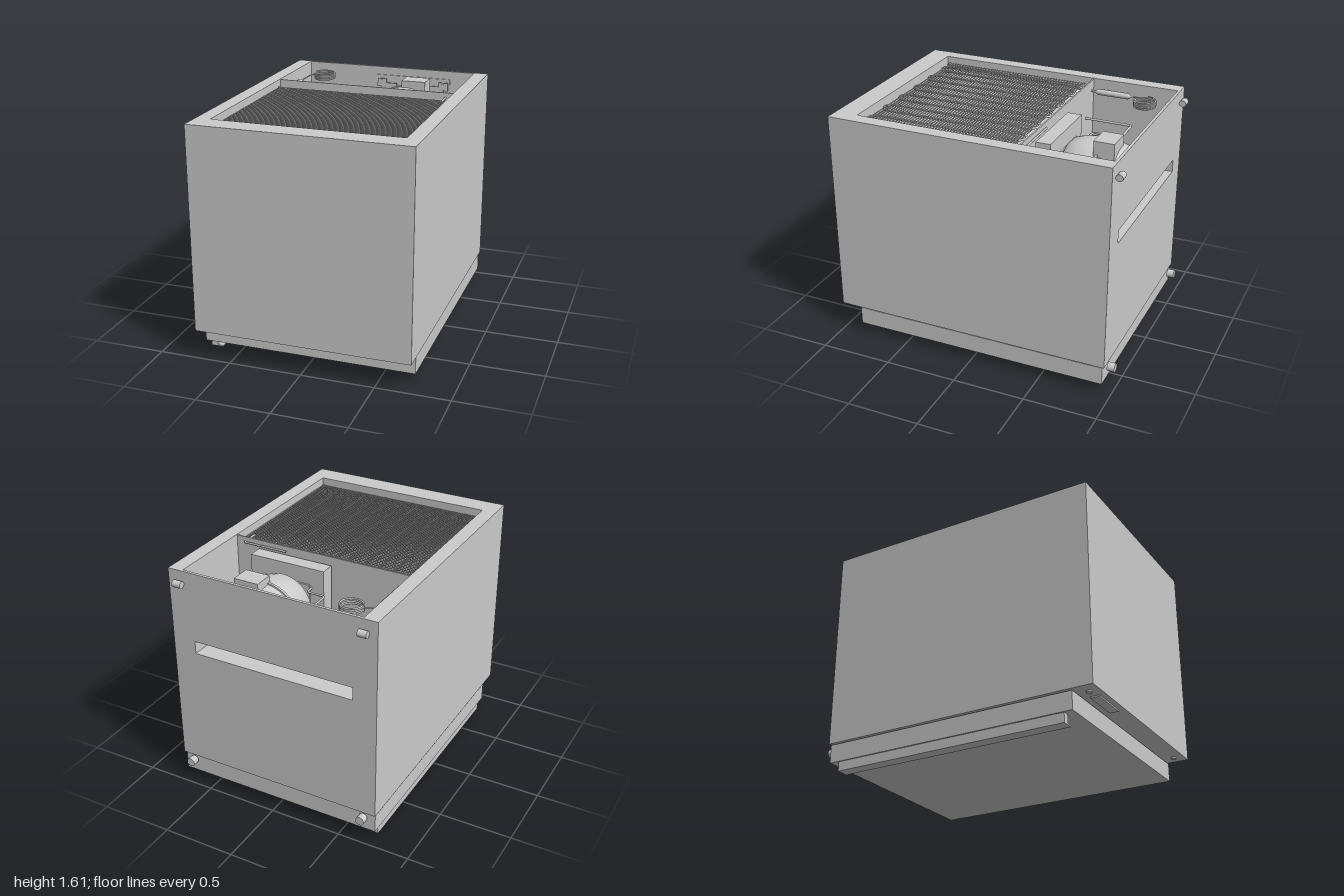
import * as THREE from 'three';

const mat = new THREE.MeshStandardMaterial({ color: 0xcccccc });
const V = (x, y, z) => new THREE.Vector3(x, y, z);

function add(parent, name, geo, x = 0, y = 0, z = 0) {
  const m = new THREE.Mesh(geo, mat);
  m.name = name;
  m.position.set(x, y, z);
  parent.add(m);
  return m;
}

// box from its limits on each axis
function box(parent, name, x0, x1, y0, y1, z0, z1) {
  return add(parent, name, new THREE.BoxGeometry(x1 - x0, y1 - y0, z1 - z0),
    (x0 + x1) / 2, (y0 + y1) / 2, (z0 + z1) / 2);
}

// cylinder along 'x', 'y' or 'z'
function rod(parent, name, axis, r, len, x, y, z, sides = 24) {
  const g = new THREE.CylinderGeometry(r, r, len, sides);
  if (axis === 'x') g.rotateZ(Math.PI / 2);
  if (axis === 'z') g.rotateX(Math.PI / 2);
  return add(parent, name, g, x, y, z);
}

// pipe through points with small rounded corners
function pipe(parent, name, pts, r = 0.007, bend = 0.025) {
  const path = new THREE.CurvePath();
  let from = pts[0];
  for (let i = 1; i < pts.length - 1; i++) {
    const p = pts[i];
    const a = p.clone().add(pts[i - 1].clone().sub(p).setLength(bend));
    const b = p.clone().add(pts[i + 1].clone().sub(p).setLength(bend));
    path.add(new THREE.LineCurve3(from, a));
    path.add(new THREE.QuadraticBezierCurve3(a, p, b));
    from = b;
  }
  path.add(new THREE.LineCurve3(from, pts[pts.length - 1]));
  return add(parent, name, new THREE.TubeGeometry(path, pts.length * 14, r, 8));
}

function group(parent, name) {
  const g = new THREE.Group();
  g.name = name;
  parent.add(g);
  return g;
}

function buildCabinet(root) {
  const c = group(root, 'cabinet');
  box(c, 'lowerBody', -0.74, 0.74, 0.2, 1.03, -0.95, 1);
  for (const s of [-1, 1]) {
    const [a, b] = s < 0 ? [-0.74, -0.64] : [0.64, 0.74];
    box(c, 'sideWall', a, b, 1.03, 1.61, -0.93, 1);
    const [d, e] = s < 0 ? [-0.64, -0.575] : [0.575, 0.64];
    box(c, 'floorEdge', d, e, 1.03, 1.12, -0.93, -0.77);
  }
  box(c, 'frontWall', -0.64, 0.64, 1.03, 1.61, 0.84, 1);
  box(c, 'compartmentFloor', -0.64, 0.64, 1.03, 1.12, -0.77, -0.32);
  box(c, 'condenserBed', -0.64, 0.64, 1.03, 1.52, -0.31, 0.84);
  box(c, 'partition', -0.64, 0.64, 1.03, 1.605, -0.32, -0.31);
  // back wall with the vent slot
  const wall = new THREE.Shape([[-0.74, 1.03], [0.74, 1.03], [0.74, 1.61], [-0.74, 1.61]]
    .map(p => new THREE.Vector2(...p)));
  wall.holes.push(new THREE.Path([[-0.575, 1.031], [-0.575, 1.12], [0.575, 1.12], [0.575, 1.031]]
    .map(p => new THREE.Vector2(...p))));
  add(c, 'backWall', new THREE.ExtrudeGeometry(wall, { depth: 0.02, bevelEnabled: false }), 0, 0, -0.95);
  for (const s of [-1, 1]) {
    rod(c, 'roller', 'x', 0.024, 0.06, s * 0.655, 1.525, -0.975);
    rod(c, 'foot', 'z', 0.03, 0.05, s * 0.655, 0.165, -0.975);
  }
}

function buildDoor(root) {
  const d = group(root, 'door');
  box(d, 'doorPanel', -0.735, 0.73, 0.065, 0.19, -0.935, 0.86);
  box(d, 'gasket', -0.7, 0.7, 0.188, 0.202, -0.9, 0.83);
  box(d, 'handleBar', -0.725, -0.68, 0.005, 0.066, -0.87, 0.8);
  box(d, 'handleLip', -0.725, -0.64, 0, 0.009, -0.87, 0.8);
  box(d, 'controlStrip', -0.57, -0.3, 0.19, 0.201, 0.9, 0.96);
  for (const s of [-1, 1]) rod(d, 'hingePin', 'y', 0.018, 0.012, s * 0.65, 0.195, 0.93);
}

function buildCondenser(root) {
  const c = group(root, 'condenser');
  const y = 1.555, r = 0.053, step = 0.106, x0 = -0.583, zTop = -0.21, zEnd = 0.77;
  // serpentine tube
  const pts = [];
  for (let i = 0; i < 12; i++) {
    const x = x0 + i * step, down = i % 2 === 0;
    for (let k = 0; k <= 8; k++) pts.push(V(x, y, THREE.MathUtils.lerp(zTop, zEnd, down ? k / 8 : 1 - k / 8)));
    if (i === 11) break;
    for (let k = 1; k < 6; k++) {
      const a = Math.PI * k / 6;
      pts.push(V(x + r - r * Math.cos(a), y, down ? zEnd + r * Math.sin(a) : zTop - r * Math.sin(a)));
    }
  }
  add(c, 'serpentineTube', new THREE.TubeGeometry(new THREE.CatmullRomCurve3(pts), 800, 0.008, 8));
  // wire grid above and below the tube
  for (let i = 0; i < 50; i++) {
    const z = -0.235 + i * 0.0212;
    rod(c, 'wire', 'x', 0.004, 1.24, 0, y + 0.011, z, 6);
    rod(c, 'wire', 'x', 0.004, 1.24, 0, y - 0.011, z + 0.006, 6);
  }
  for (const s of [-1, 1]) {
    box(c, 'sideRail', s * 0.625 - 0.012, s * 0.625 + 0.012, 1.52, 1.558, -0.27, 0.83);
    for (const z of [-0.25, 0.815]) rod(c, 'railScrew', 'y', 0.01, 0.01, s * 0.622, 1.562, z, 12);
  }
}

function buildCompressor(root) {
  const c = group(root, 'compressor');
  const cx = 0.183, cy = 1.29;
  // domed shell, axis towards the back
  const profile = [[0, -0.88], [0.14, -0.88], [0.185, -0.87], [0.21, -0.835], [0.228, -0.77], [0.237, -0.7],
    [0.237, -0.62], [0.228, -0.55], [0.208, -0.49], [0.18, -0.46], [0.14, -0.448], [0, -0.445]];
  const shell = new THREE.LatheGeometry(profile.map(p => new THREE.Vector2(...p)), 48);
  shell.rotateX(Math.PI / 2);
  add(c, 'shell', shell, cx, cy, 0);
  rod(c, 'weldSeam', 'z', 0.246, 0.018, cx, cy, -0.7, 48);
  box(c, 'terminalBox', 0.16, 0.335, 1.46, 1.575, -0.82, -0.68);
  box(c, 'mountPlate', -0.1, 0.46, 1.12, 1.55, -0.932, -0.922);
  box(c, 'shellBase', 0.01, 0.36, 1.14, 1.44, -0.452, -0.44);
  for (const x of [-0.052, 0.42]) for (const y of [1.17, 1.5]) {
    rod(c, 'rubberMount', 'z', 0.02, 0.045, x, y, -0.905);
    box(c, 'mountFoot', x - 0.035, x + 0.035, y - 0.03, y + 0.03, -0.895, -0.885);
  }
  for (const s of [-1, 1]) box(c, 'mountArm', cx + s * 0.18 - 0.06, cx + s * 0.18 + 0.06, 1.15, 1.5, -0.893, -0.884);
  box(c, 'dripTray', -0.09, 0.455, 1.2, 1.555, -0.44, -0.34);
  box(c, 'trayBracket', 0.02, 0.34, 1.25, 1.5, -0.34, -0.32);
}

function buildPiping(root) {
  const p = group(root, 'piping');
  // filter drier with tapered ends
  const drier = [[0, -0.15], [0.008, -0.15], [0.008, -0.13], [0.021, -0.11], [0.021, 0.11], [0.008, 0.13], [0.008, 0.15], [0, 0.15]];
  const g = new THREE.LatheGeometry(drier.map(q => new THREE.Vector2(...q)), 20);
  g.rotateX(Math.PI / 2);
  add(p, 'filterDrier', g, -0.598, 1.53, -0.48);
  pipe(p, 'drierOutlet', [V(-0.598, 1.53, -0.36), V(-0.598, 1.53, -0.29), V(-0.598, 1.55, -0.21)], 0.008);
  // coiled capillary
  const coil = [];
  for (let i = 0; i <= 96; i++) {
    const a = Math.PI + i / 24 * Math.PI * 2;
    coil.push(V(-0.463 + 0.073 * Math.cos(a), 1.575 - i / 96 * 0.045, -0.755 + 0.073 * Math.sin(a)));
  }
  add(p, 'capillaryCoil', new THREE.TubeGeometry(new THREE.CatmullRomCurve3(coil), 240, 0.006, 8));
  add(p, 'capillaryLead', new THREE.TubeGeometry(new THREE.CatmullRomCurve3([
    V(-0.536, 1.56, -0.755), V(-0.57, 1.55, -0.715), V(-0.596, 1.535, -0.68), V(-0.598, 1.53, -0.61)]), 24, 0.005, 8));
  // refrigerant lines
  pipe(p, 'suctionLine', [V(-0.03, 1.36, -0.66), V(-0.495, 1.36, -0.66), V(-0.495, 1.36, -0.315)], 0.009);
  pipe(p, 'dischargeLine', [V(-0.01, 1.42, -0.635), V(-0.135, 1.42, -0.635), V(-0.135, 1.42, -0.505),
    V(-0.003, 1.42, -0.505), V(-0.003, 1.42, -0.325)]);
  pipe(p, 'condenserInlet', [V(0.25, 1.57, -0.33), V(0.582, 1.57, -0.33), V(0.582, 1.57, -0.2)]);
}

export function createModel() {
  const root = new THREE.Group();
  root.name = 'miniRefrigerator';
  buildCabinet(root);
  buildDoor(root);
  buildCondenser(root);
  buildCompressor(root);
  buildPiping(root);
  return root;
}
